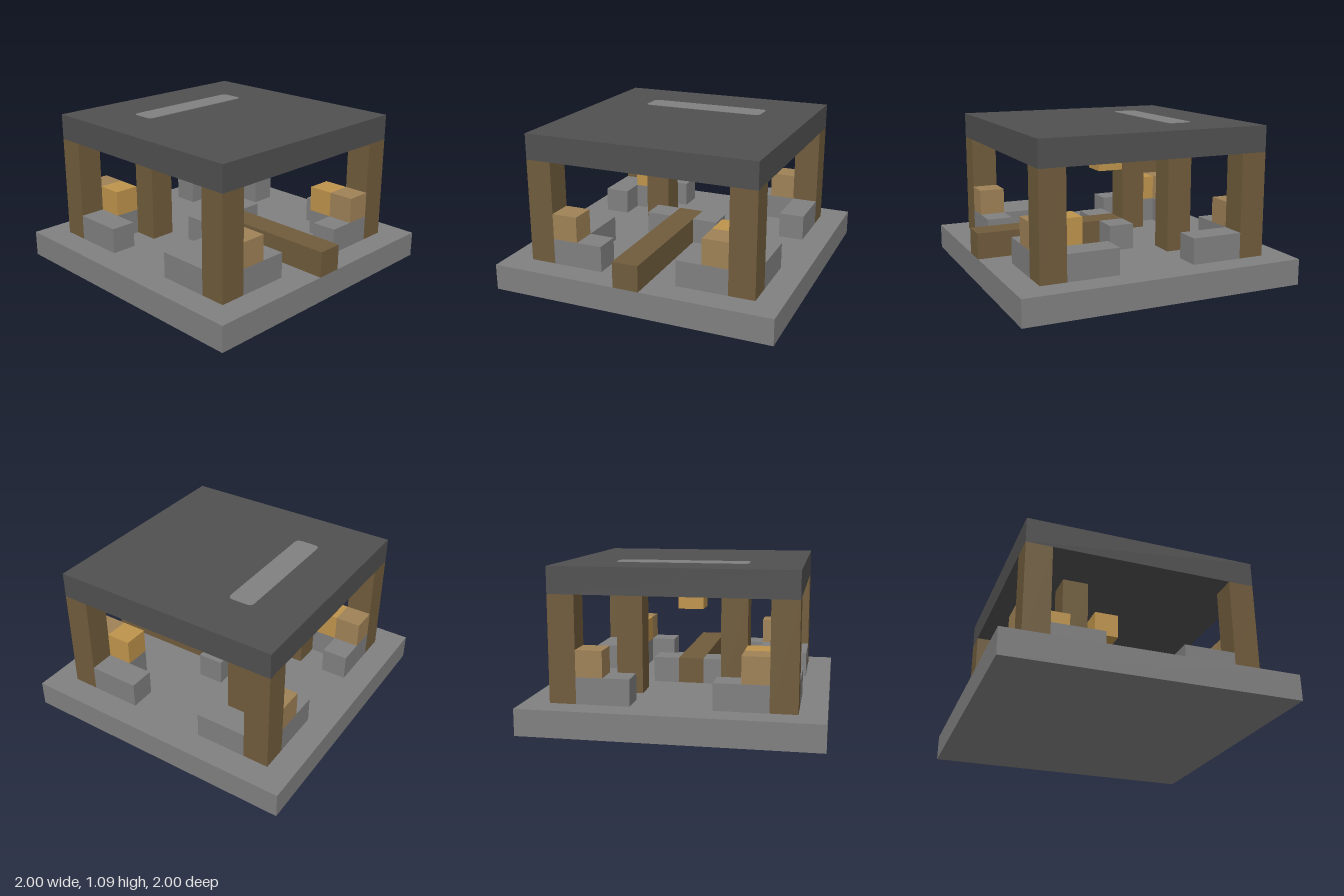
import * as THREE from 'three';

const U = 2 / 11; // one block of the 11 x 11 grid

export function createModel() {
  const model = new THREE.Group();
  model.name = 'pavilion';

  const mat = (name, color) => {
    const m = new THREE.MeshStandardMaterial({ color });
    m.name = name;
    return m;
  };
  const stone = mat('stone grey', 0x808080);
  const slate = mat('dark slate', 0x505050);
  const wood = mat('dark wood', 0x705c3c);
  const gold = mat('lantern gold', 0xbf944c);
  const tan = mat('tan wood', 0x9f8257);

  // Box filling the grid cells from x0..x1, y0..y1, z0..z1 (cell centres, y = layer)
  const block = (name, material, x0, x1, y0, y1, z0, z1) => {
    const geo = new THREE.BoxGeometry((x1 - x0 + 1) * U, (y1 - y0 + 1) * U, (z1 - z0 + 1) * U);
    const mesh = new THREE.Mesh(geo, material);
    mesh.name = name;
    mesh.position.set((x0 + x1) * U / 2, (y0 + y1 + 1) * U / 2, (z0 + z1) * U / 2);
    model.add(mesh);
  };

  // Floor slab and flat roof
  block('floor', stone, -5, 5, 0, 0, -5, 5);
  block('roof', slate, -4, 4, 5, 5, -4, 4);

  // Corner posts, and benches with a tan crate beside each post
  for (const sx of [-1, 1]) {
    for (const sz of [-1, 1]) {
      block('cornerPost', wood, 4 * sx, 4 * sx, 1, 4, 4 * sz, 4 * sz);
      const bx = [2 * sx, 3 * sx].sort((a, b) => a - b);
      block('bench', stone, bx[0], bx[1], 1, 1, 4 * sz, 4 * sz);
      block('crate', tan, 3 * sx, 3 * sx, 2, 2, 4 * sz, 4 * sz);
      // Side benches; the front right one is two blocks wide
      const wide = sx < 0 && sz > 0;
      const z = [2 * sz, 3 * sz].sort((a, b) => a - b);
      block('sideBench', stone, 4 * sx, wide ? -3 : 4 * sx, 1, 1, z[0], z[1]);
    }
    // Inner posts toward the back
    block('innerPost', wood, 2 * sx, 2 * sx, 1, 4, -2, -2);
    // Low stones on either side of the beam end
    block('beamStone', stone, sx, sx, 1, 1, 0, 0);
    // Gold lamps on plinths in two opposite corners
    block('lampPlinth', stone, 3 * sx, 3 * sx, 1, 1, 3 * sx, 3 * sx);
    block('cornerLamp', gold, 3 * sx, 3 * sx, 2, 2, 3 * sx, 3 * sx);
  }

  // Long floor beam from the front edge to the middle
  block('floorBeam', wood, 0, 0, 1, 1, 0, 5);

  // Lantern hanging under the roof
  block('lantern', gold, 0, 0, 4, 4, 0, 0);

  // Thin rounded strip on the roof
  const w = 2.5 * U, h = 0.5 * U, r = 0.04;
  const s = new THREE.Shape();
  s.moveTo(-w + r, -h);
  s.lineTo(w - r, -h);
  s.quadraticCurveTo(w, -h, w, -h + r);
  s.lineTo(w, h - r);
  s.quadraticCurveTo(w, h, w - r, h);
  s.lineTo(-w + r, h);
  s.quadraticCurveTo(-w, h, -w, h - r);
  s.lineTo(-w, -h + r);
  s.quadraticCurveTo(-w, -h, -w + r, -h);
  const strip = new THREE.Mesh(
    new THREE.ExtrudeGeometry(s, { depth: 0.003, bevelEnabled: false, curveSegments: 4 }), stone);
  strip.name = 'roofStrip';
  strip.rotation.x = -Math.PI / 2;
  strip.position.set(0, 6 * U, -2 * U);
  model.add(strip);

  return model;
}
